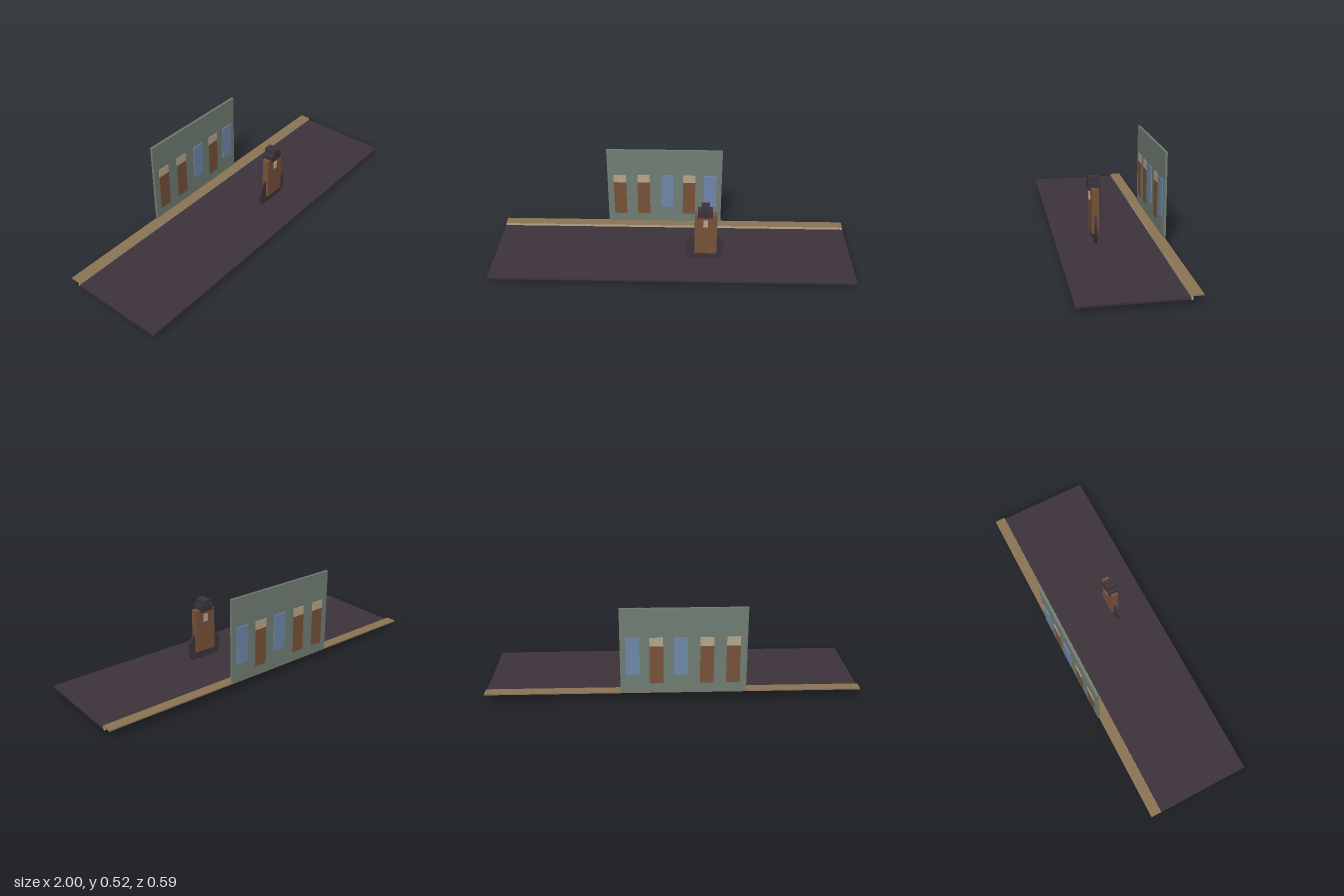
import * as THREE from 'three';

const material = (name, color) => {
  const m = new THREE.MeshStandardMaterial({ color });
  m.name = name;
  return m;
};

export function createModel() {
  const model = new THREE.Group();
  model.name = 'streetScene';

  const dark = material('charcoal', 0x3d343b);
  const brown = material('brown', 0x78533a);
  const cream = material('cream', 0xb8a88c);
  const tan = material('tan', 0x8c7555);
  const green = material('greyGreen', 0x717f75);
  const blue = material('windowBlue', 0x7089ab);

  // Box given by its extents on each axis
  const box = (parent, name, mat, [x0, x1], [y0, y1], [z0, z1]) => {
    const mesh = new THREE.Mesh(new THREE.BoxGeometry(x1 - x0, y1 - y0, z1 - z0), mat);
    mesh.position.set((x0 + x1) / 2, (y0 + y1) / 2, (z0 + z1) / 2);
    mesh.name = name;
    parent.add(mesh);
    return mesh;
  };

  // Street: road, kerb and pavement
  const street = new THREE.Group();
  street.name = 'street';
  box(street, 'road', dark, [-1, 1], [0.028, 0.038], [-0.225, 0.297]);
  box(street, 'kerb', cream, [-1, 1], [0.028, 0.0515], [-0.233, -0.225]);
  box(street, 'pavement', tan, [-1, 1], [0.045, 0.052], [-0.284, -0.2255]);
  model.add(street);

  // Building front with doors and windows passing through it
  const building = new THREE.Group();
  building.name = 'building';
  box(building, 'wall', green, [-0.385, 0.28], [0.052, 0.523], [-0.29, -0.277]);
  for (const x of [-0.313, -0.175, 0.09]) {
    const xs = [x - 0.036, x + 0.036];
    box(building, 'door', brown, xs, [0.105, 0.315], [-0.293, -0.274]);
    box(building, 'doorTransom', cream, xs, [0.315, 0.363], [-0.293, -0.274]);
  }
  for (const x of [-0.038, 0.213]) {
    box(building, 'window', blue, [x - 0.037, x + 0.037], [0.156, 0.363], [-0.296, -0.272]);
  }
  model.add(building);

  // Figure: block body on a wheel, with a face plate and a hat
  const figure = new THREE.Group();
  figure.name = 'figure';
  const wheel = new THREE.Mesh(new THREE.CylinderGeometry(0.104, 0.104, 0.012, 40), dark);
  wheel.rotation.x = Math.PI / 2;
  wheel.position.set(0.183, 0.104, 0.085);
  wheel.name = 'wheel';
  figure.add(wheel);
  box(figure, 'body', brown, [0.124, 0.246], [0.085, 0.33], [0.066, 0.104]);
  box(figure, 'facePlate', cream, [0.17, 0.196], [0.26, 0.301], [0.06, 0.111]);
  box(figure, 'hatBrim', dark, [0.14, 0.22], [0.321, 0.356], [0.054, 0.116]);
  box(figure, 'hatCrown', dark, [0.158, 0.204], [0.356, 0.384], [0.052, 0.118]);
  model.add(figure);

  return model;
}
